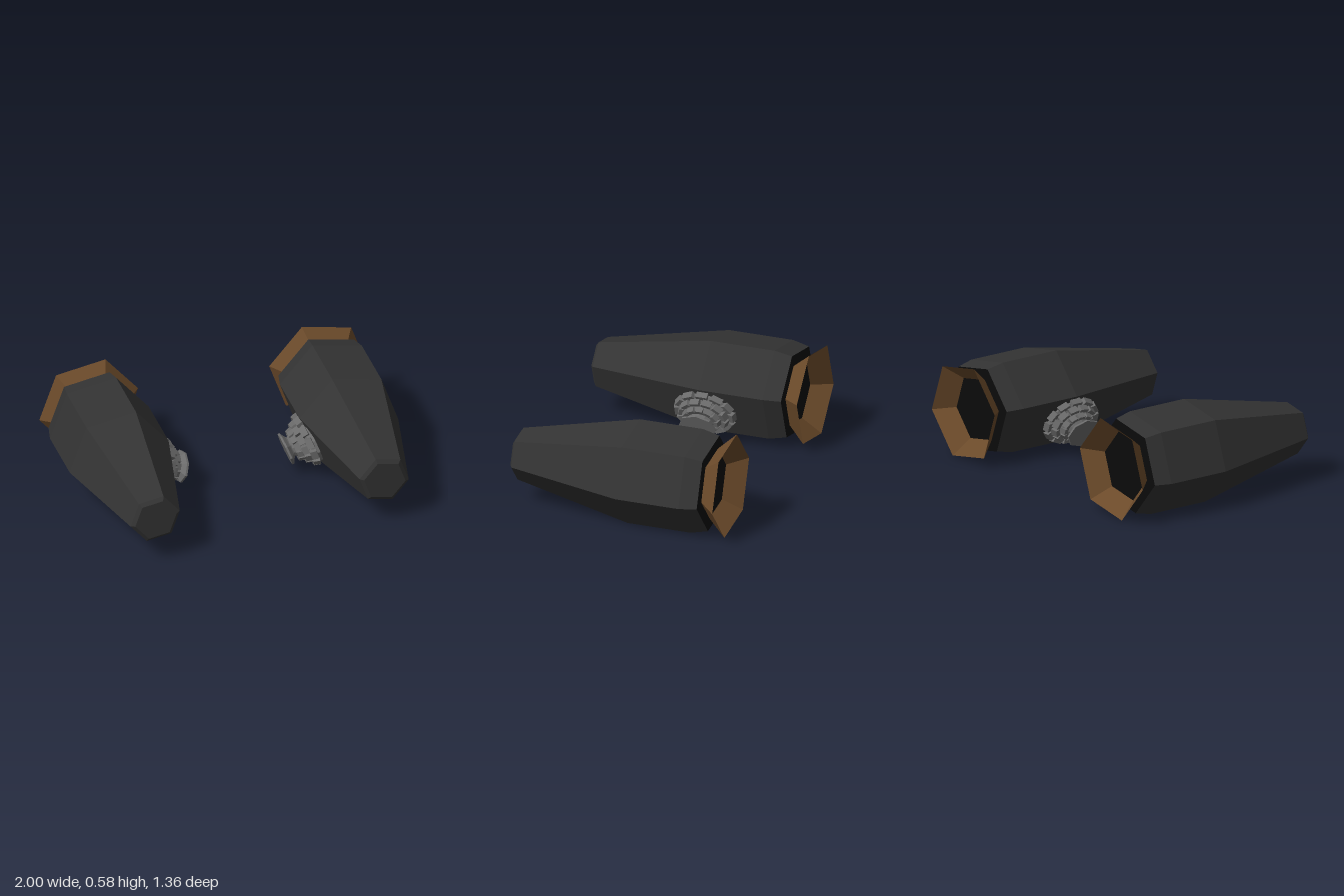
import * as THREE from 'three';

const flat = (color, side = THREE.FrontSide) =>
  new THREE.MeshStandardMaterial({ color, side, flatShading: true });
const shellMat = flat(0x333333);
const darkMat = flat(0x0a0a0a);
const nozzleMat = flat(0x6b4a2a, THREE.DoubleSide);
const metalMat = flat(0x6a6a6a);

const TILT = THREE.MathUtils.degToRad(19.5); // roll of each pod
const RADIUS = 0.305;

function lathe(profile, sides) {
  return new THREE.LatheGeometry(profile.map(([r, y]) => new THREE.Vector2(r, y)), sides);
}

function addMesh(parent, name, geometry, material) {
  const mesh = new THREE.Mesh(geometry, material);
  mesh.name = name;
  parent.add(mesh);
  return mesh;
}

// Six-sided shell along z, from [radius, z] pairs running back to front
function hexShell(profile, side) {
  return lathe(profile, 6).rotateX(Math.PI / 2).rotateZ(side * TILT);
}

// Stepped coupling on the inner face; its axis is local +y from the pod centre
function createMount() {
  const mount = new THREE.Group();
  mount.name = 'mount';
  addMesh(mount, 'mountCore', lathe([
    [0.14, 0.24], [0.135, 0.275], [0.105, 0.3], [0.09, 0.335],
    [0.068, 0.355], [0.05, 0.38], [0, 0.38],
  ], 12), metalMat);

  // rings of blocks: [outer radius, height on axis, block height, width]
  const rings = [[0.15, 0.275, 0.04, 0.055], [0.122, 0.308, 0.04, 0.046], [0.094, 0.343, 0.035, 0.036]];
  const count = 12;
  rings.forEach(([r, y, h, w], k) => {
    for (let i = 0; i < count; i++) {
      const arm = new THREE.Group();
      arm.rotation.y = ((i + (k % 2) * 0.5) / count) * Math.PI * 2;
      const block = addMesh(arm, 'mountBlock', new THREE.BoxGeometry(0.04, h, w), metalMat);
      block.position.set(r - 0.024, y, 0);
      block.rotation.z = 0.25;
      mount.add(arm);
    }
  });

  // flared end plate
  addMesh(mount, 'mountPlate', lathe([
    [0.05, 0.37], [0.062, 0.382], [0.09, 0.4], [0.09, 0.412], [0, 0.412],
  ], 8), metalMat);
  mount.scale.z = 1.28;
  return mount;
}

// z stations: flare end, back, rear shoulder, front shoulder, nose bevel, nose
function createPod(name, side, [flare, back, rear, front, bevel, nose], mountZ) {
  const pod = new THREE.Group();
  pod.name = name;
  pod.position.set(side * 0.7, 0.303, 0);

  addMesh(pod, 'body', hexShell([
    [0.281, back], [RADIUS, rear], [RADIUS, front], [0.152, bevel], [0.128, nose], [0, nose],
  ], side), shellMat);
  addMesh(pod, 'backPlate', hexShell([[0, back], [0.281, back]], side), darkMat);
  addMesh(pod, 'exhaustFlare', hexShell([[RADIUS, flare], [0.205, back]], side), nozzleMat);

  const pivot = new THREE.Group();
  pivot.name = 'mountPivot';
  pivot.position.z = mountZ;
  pivot.rotation.z = side * (Math.PI / 2 + TILT);
  const mount = createMount();
  mount.position.x = -0.01 * side;
  pivot.add(mount);
  pod.add(pivot);
  return pod;
}

export function createModel() {
  const model = new THREE.Group();
  model.name = 'podPair';
  model.add(
    createPod('rightPod', -1, [-0.668, -0.56, -0.455, -0.058, 0.66, 0.677], -0.08),
    createPod('leftPod', 1, [-0.678, -0.572, -0.467, -0.075, 0.63, 0.645], -0.085),
  );
  return model;
}
